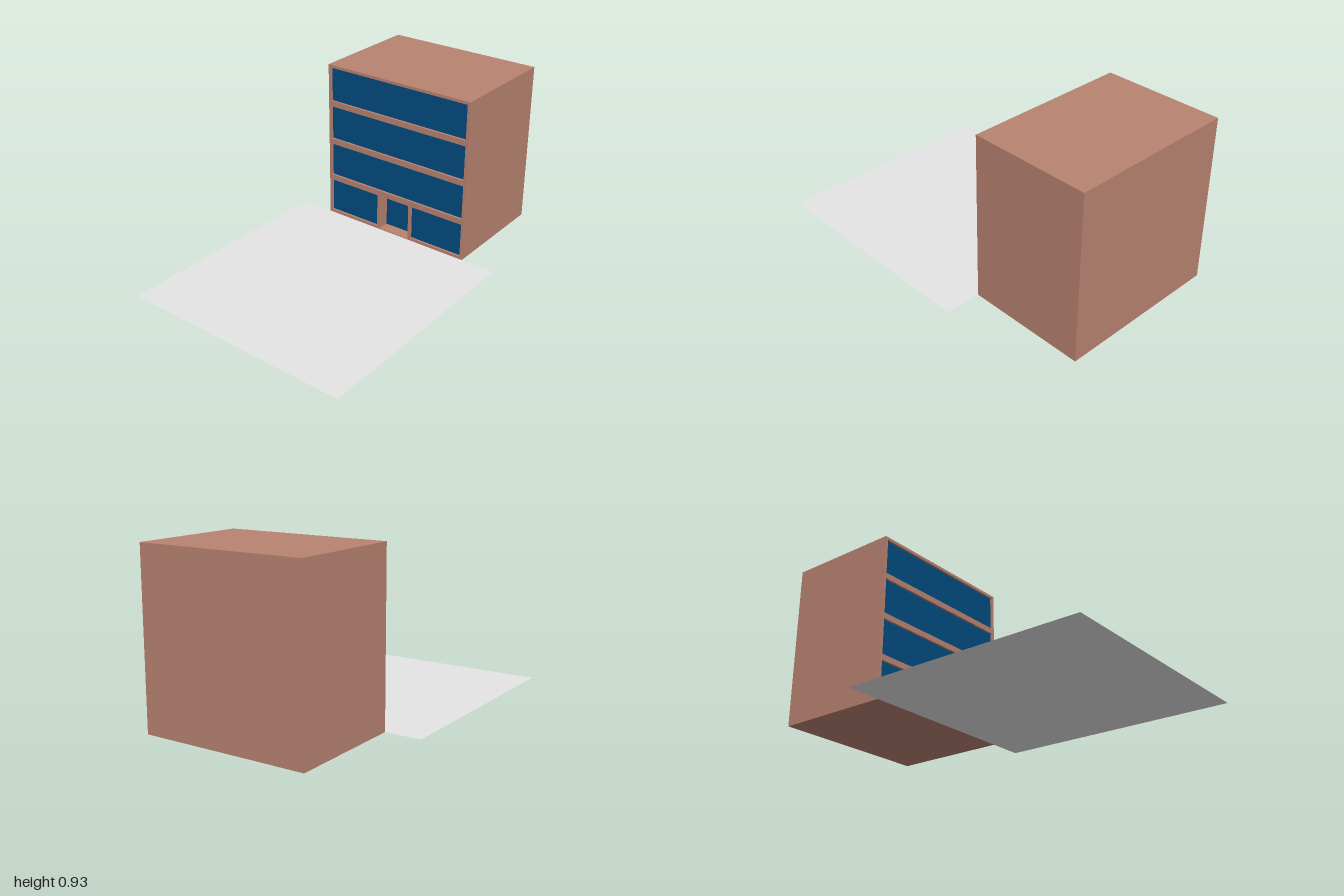
import * as THREE from 'three';

const U = 1 / 15;                 // one building unit
const WIDTH = 14 * U, HEIGHT = 14 * U, DEPTH = 10 * U;
const FRONT = 5 * U;              // x of the glazed facade, which faces -x
const FLOOR = 3.5 * U, FRAME = 0.25 * U;
const RECESS = 0.2 * U;           // glass set back in its frame
const PORCH = 1.1 * U;            // depth of the entrance
const DOOR = 3 * U;               // entrance width

export function createModel() {
  const brick = new THREE.MeshStandardMaterial({ color: 0xb98371 });
  brick.name = 'brick';
  const glass = new THREE.MeshStandardMaterial({ color: 0x004c80 });
  glass.name = 'dark blue glass';
  const paving = new THREE.MeshStandardMaterial({ color: 0xe5e5e5, side: THREE.DoubleSide });
  paving.name = 'grey paving';

  const model = new THREE.Group();
  const add = (parent, name, geometry, material, x, y, z) => {
    const mesh = new THREE.Mesh(geometry, material);
    mesh.name = name;
    mesh.position.set(x, y, z);
    parent.add(mesh);
    return mesh;
  };

  const building = new THREE.Group();
  building.name = 'building';
  model.add(building);

  // Solid block behind the facade
  add(building, 'body', new THREE.BoxGeometry(DEPTH - PORCH, HEIGHT, WIDTH), brick,
    FRONT + PORCH + (DEPTH - PORCH) / 2, HEIGHT / 2, 0);

  // Window openings: [centre, bottom, width, height]
  const winH = FLOOR - 2 * FRAME;
  const sideW = (WIDTH - DOOR) / 2 - 2 * FRAME;
  const sideC = (WIDTH + DOOR) / 4;
  const openings = [[-sideC, FRAME, sideW, winH], [sideC, FRAME, sideW, winH]];
  for (let f = 1; f < 4; f++) openings.push([0, f * FLOOR + FRAME, WIDTH - 2 * FRAME, winH]);

  // Facade wall with an entrance notch and window holes
  const w = WIDTH / 2, d = DOOR / 2, doorH = FLOOR - FRAME;
  const wall = new THREE.Shape([
    [-w, 0], [-d, 0], [-d, doorH], [d, doorH], [d, 0], [w, 0], [w, HEIGHT], [-w, HEIGHT],
  ].map(([x, y]) => new THREE.Vector2(x, y)));
  for (const [c, y, ow, oh] of openings) {
    const l = c - ow / 2, r = c + ow / 2;
    wall.holes.push(new THREE.Path([
      new THREE.Vector2(l, y), new THREE.Vector2(l, y + oh),
      new THREE.Vector2(r, y + oh), new THREE.Vector2(r, y),
    ]));
  }
  const wallGeometry = new THREE.ExtrudeGeometry(wall, { depth: PORCH, bevelEnabled: false });
  wallGeometry.rotateY(Math.PI / 2);
  add(building, 'facade', wallGeometry, brick, FRONT, 0, 0);

  // Recessed glazing
  for (const [c, y, ow, oh] of openings) {
    add(building, 'window', new THREE.PlaneGeometry(ow, oh), glass, FRONT + RECESS, y + oh / 2, c)
      .rotation.y = -Math.PI / 2;
  }

  // Entrance floor and glass door
  add(building, 'entranceFloor', new THREE.BoxGeometry(PORCH, 0.004, DOOR), brick,
    FRONT + PORCH / 2, 0.002, 0);
  add(building, 'door', new THREE.PlaneGeometry(DOOR, doorH), glass,
    FRONT + PORCH - 0.002, doorH / 2, 0).rotation.y = -Math.PI / 2;

  // Flat forecourt
  add(model, 'forecourt', new THREE.PlaneGeometry(20 * U, 20 * U), paving, -5 * U, 0, 0)
    .rotation.x = -Math.PI / 2;

  return model;
}
